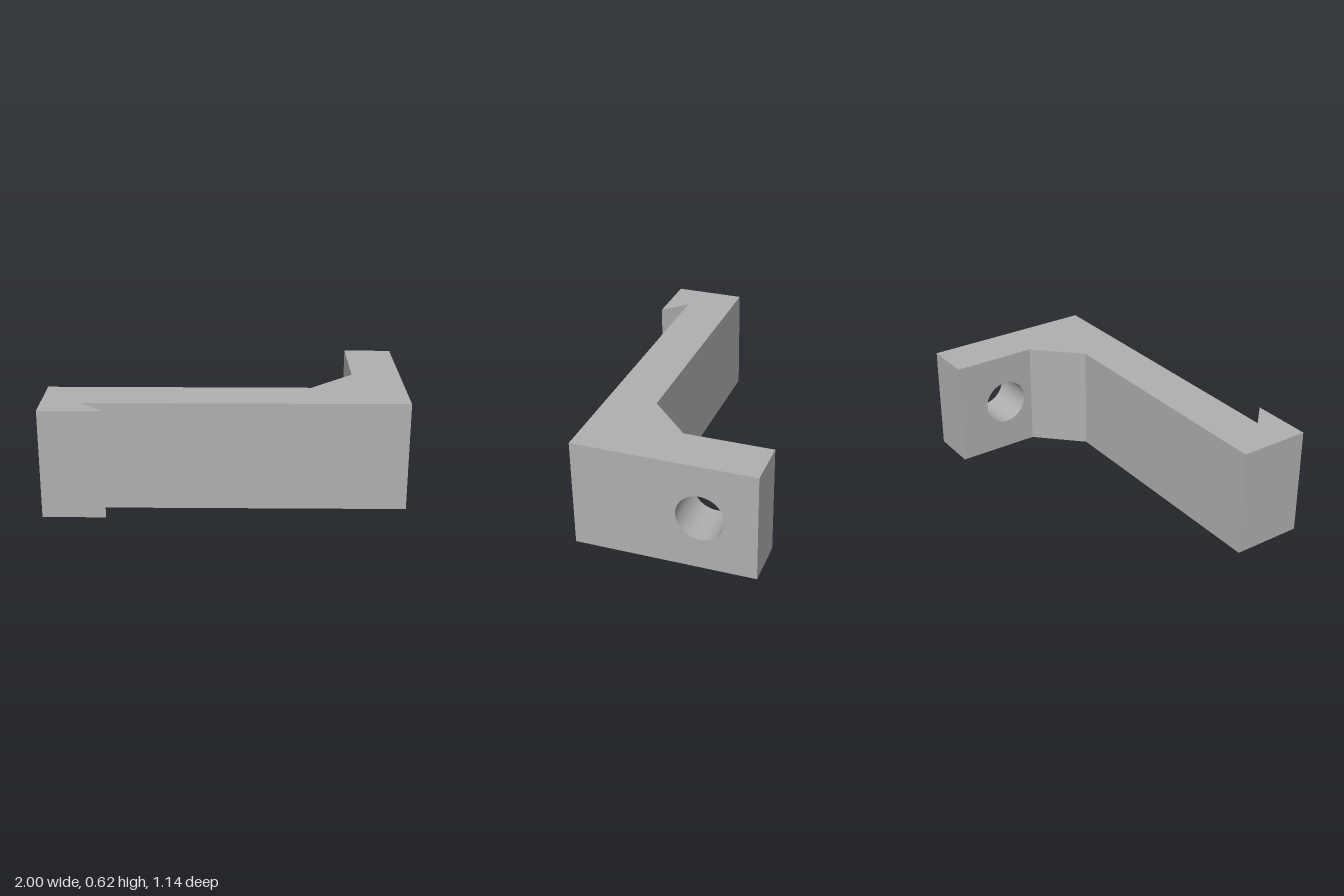
import * as THREE from 'three';
import { toCreasedNormals } from 'three/addons/utils/BufferGeometryUtils.js';

const HEIGHT = 0.616;

export function createModel() {
  const group = new THREE.Group();
  group.name = 'hookedBracket';

  const grey = new THREE.MeshStandardMaterial({ color: 0xb0b0b0 });
  grey.name = 'grey';

  const extrude = (shape, depth) => toCreasedNormals(
    new THREE.ExtrudeGeometry(shape, { depth, bevelEnabled: false, curveSegments: 48 }), 0.5);

  const add = (name, geometry) => {
    const mesh = new THREE.Mesh(geometry, grey);
    mesh.name = name;
    group.add(mesh);
  };

  // Long arm with undercut hook and corner gusset: plan outline as [x, z]
  const plan = [
    [-1, 0.57], [-0.652, 0.57], [-0.782, 0.44], [1, 0.44],
    [1, -0.08], [0.723, -0.08], [0.475, 0.165], [-1, 0.165],
  ];
  const armShape = new THREE.Shape(plan.map(([x, z]) => new THREE.Vector2(x, -z)));
  add('armWithHook', extrude(armShape, HEIGHT).rotateX(-Math.PI / 2));

  // Drilled flange: side outline as (-z, y), extruded along x
  const flangeShape = new THREE.Shape([
    new THREE.Vector2(0.08, 0), new THREE.Vector2(0.572, 0),
    new THREE.Vector2(0.572, HEIGHT), new THREE.Vector2(0.08, HEIGHT),
  ]);
  flangeShape.holes.push(new THREE.Path().absarc(0.263, HEIGHT / 2, 0.132, 0, Math.PI * 2, true));
  add('drilledFlange', extrude(flangeShape, 0.277).rotateY(Math.PI / 2).translate(0.723, 0, 0));

  return group;
}
